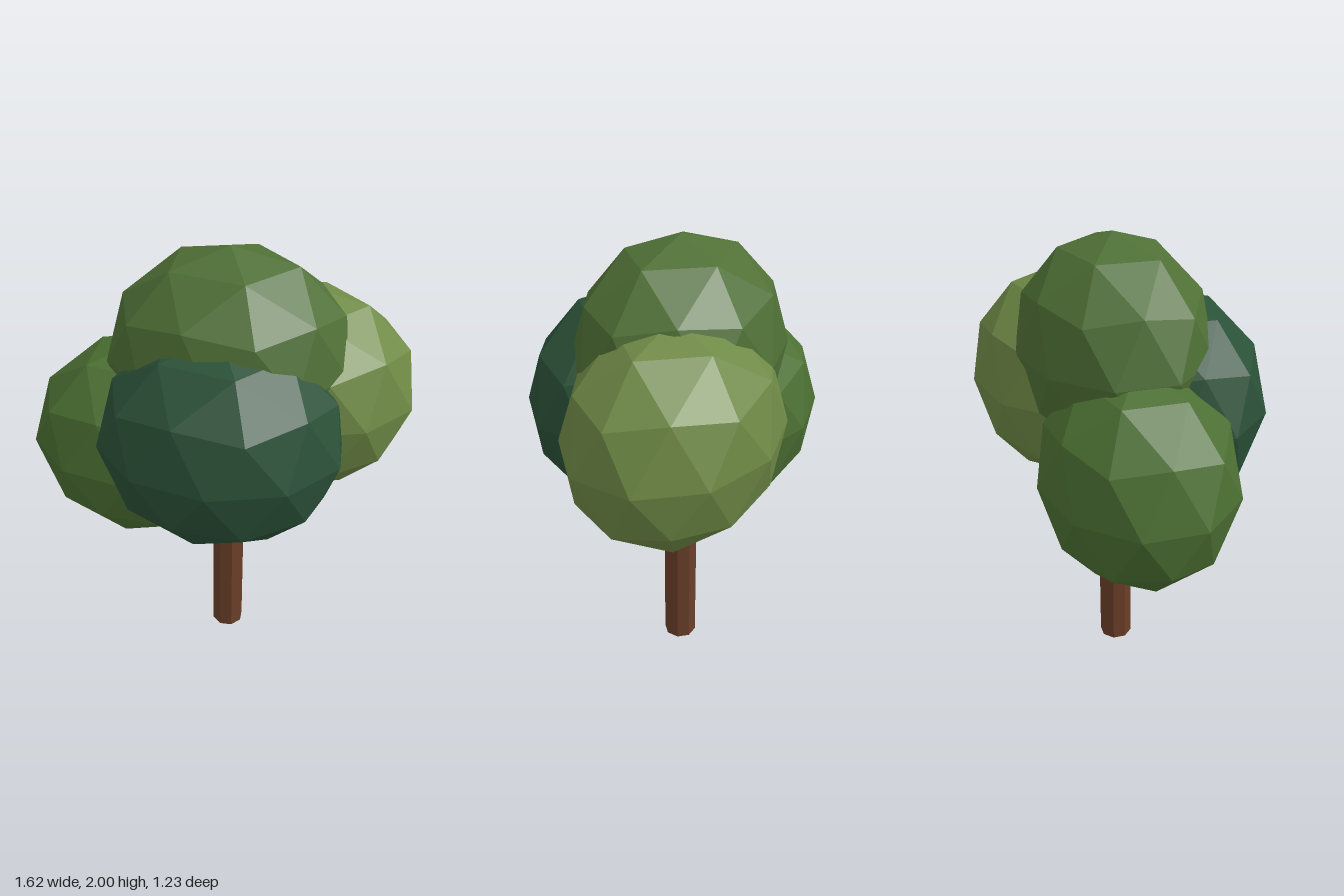
import * as THREE from 'three';

const bark = new THREE.MeshStandardMaterial({ color: 0x6b3f28, flatShading: true });
const AXIS = { x: 0.04, z: -0.05 };

// Faceted ellipsoid with a corner at its top and bottom poles
function foliage(name, color, x, y, z) {
  const geo = new THREE.IcosahedronGeometry(1, 1);
  geo.rotateZ(-Math.atan2(2, 1 + Math.sqrt(5)));
  geo.scale(0.515, 0.47, 0.415);
  const mesh = new THREE.Mesh(geo, new THREE.MeshStandardMaterial({ color, flatShading: true }));
  mesh.name = name;
  mesh.position.set(x, y, z);
  return mesh;
}

// Tapered limb between two points
function limb(name, from, to, r0, r1, sides) {
  const a = new THREE.Vector3(...from);
  const dir = new THREE.Vector3(...to).sub(a);
  const geo = new THREE.CylinderGeometry(r1, r0, dir.length(), sides);
  geo.rotateY(Math.PI / sides);
  const mesh = new THREE.Mesh(geo, bark);
  mesh.name = name;
  mesh.position.copy(a).addScaledVector(dir, 0.5);
  mesh.quaternion.setFromUnitVectors(new THREE.Vector3(0, 1, 0), dir.normalize());
  return mesh;
}

export function createModel() {
  const tree = new THREE.Group();
  tree.name = 'tree';

  // Trunk, running up into the crown
  tree.add(limb('trunk', [AXIS.x, 0, AXIS.z], [AXIS.x, 0.87, AXIS.z], 0.075, 0.075, 8));

  // Branches fanning out from the trunk into the foliage
  const tips = {
    rightBranch: [-0.2, 0.95, -0.05],
    leftBranch: [0.22, 1.0, -0.13],
    frontBranch: [0.04, 1.0, 0.12],
    topBranch: [0.04, 1.25, -0.05],
  };
  for (const [name, tip] of Object.entries(tips)) {
    tree.add(limb(name, [AXIS.x, 0.68, AXIS.z], tip, 0.045, 0.035, 6));
  }

  // Crown of four overlapping clumps
  tree.add(
    foliage('topFoliage', 0x4f7036, 0.04, 1.53, -0.05),
    foliage('rightFoliage', 0x4c7033, -0.32, 1.1, -0.05),
    foliage('leftFoliage', 0x6f8a46, 0.32, 1.32, -0.2),
    foliage('frontFoliage', 0x2b5138, 0.04, 1.27, 0.195),
  );
  return tree;
}
